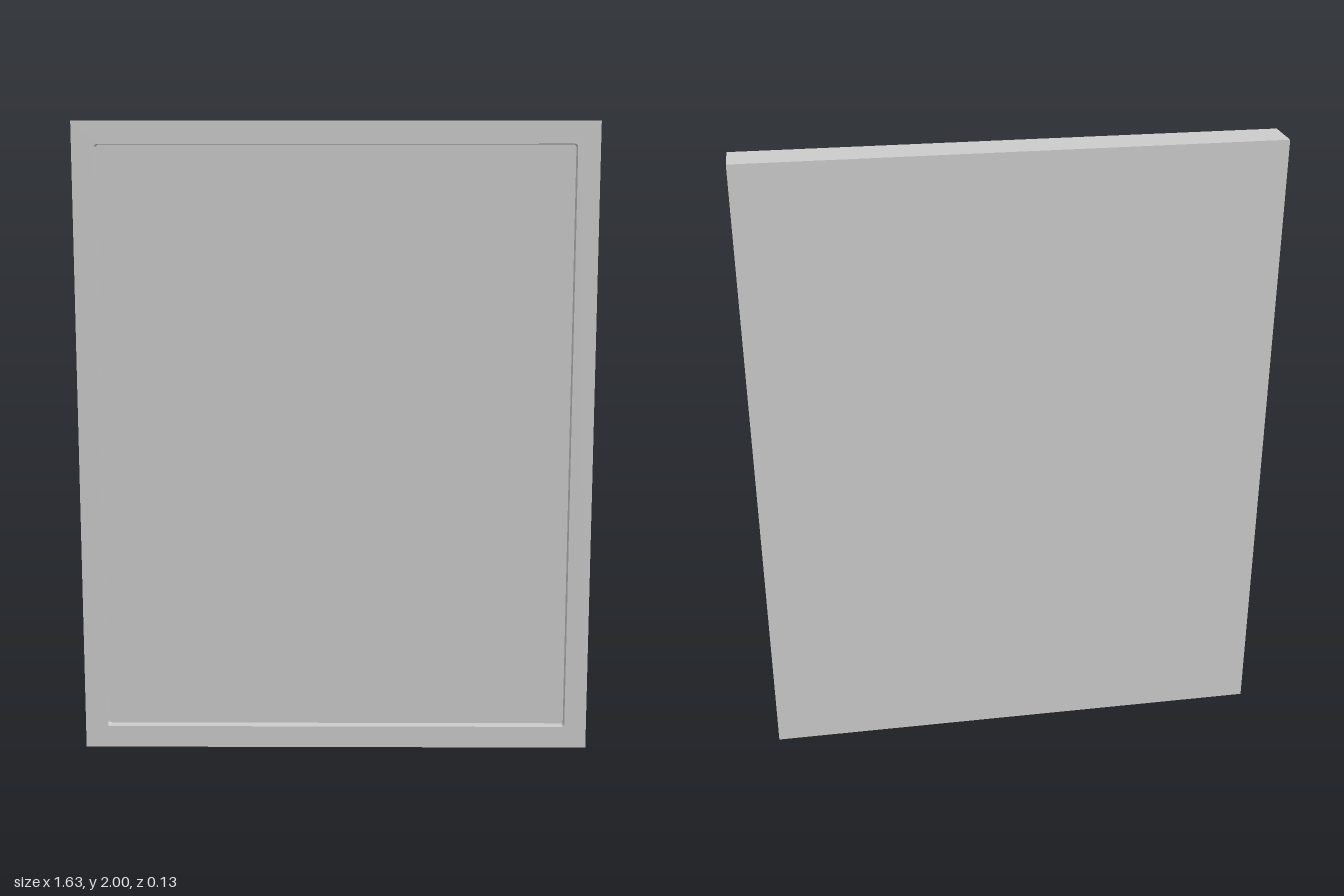
import * as THREE from 'three';

const W = 1.626, H = 2, D = 0.126; // overall size
const BORDER = 0.07, RECESS = 0.035, CORNER = 0.01;

// Rectangle centred on the origin, with optional rounded corners
function rectangle(Type, w, h, r = 0) {
  const p = new Type(), x = w / 2, y = h / 2;
  p.moveTo(-x + r, -y);
  p.lineTo(x - r, -y);
  if (r) p.absarc(x - r, -y + r, r, -Math.PI / 2, 0);
  else p.lineTo(x, -y);
  p.lineTo(x, y - r);
  if (r) p.absarc(x - r, y - r, r, 0, Math.PI / 2);
  p.lineTo(-x + r, y);
  if (r) p.absarc(-x + r, y - r, r, Math.PI / 2, Math.PI);
  p.lineTo(-x, -y + r);
  if (r) p.absarc(-x + r, -y + r, r, Math.PI, Math.PI * 1.5);
  p.closePath();
  return p;
}

export function createModel() {
  const model = new THREE.Group();
  model.name = 'framedPanel';
  const material = new THREE.MeshStandardMaterial({ color: 0xcccccc });

  // Solid slab forming the back and the recessed front face
  const panel = new THREE.Mesh(new THREE.BoxGeometry(W, H, D - RECESS), material);
  panel.name = 'panel';
  panel.position.set(0, H / 2, -RECESS / 2);
  model.add(panel);

  // Raised border with slightly rounded inner corners
  const outline = rectangle(THREE.Shape, W, H);
  outline.holes.push(rectangle(THREE.Path, W - 2 * BORDER, H - 2 * BORDER, CORNER));
  const border = new THREE.Mesh(
    new THREE.ExtrudeGeometry(outline, { depth: RECESS, bevelEnabled: false, curveSegments: 6 }),
    material
  );
  border.name = 'frameBorder';
  border.position.set(0, H / 2, D / 2 - RECESS);
  model.add(border);

  return model;
}
